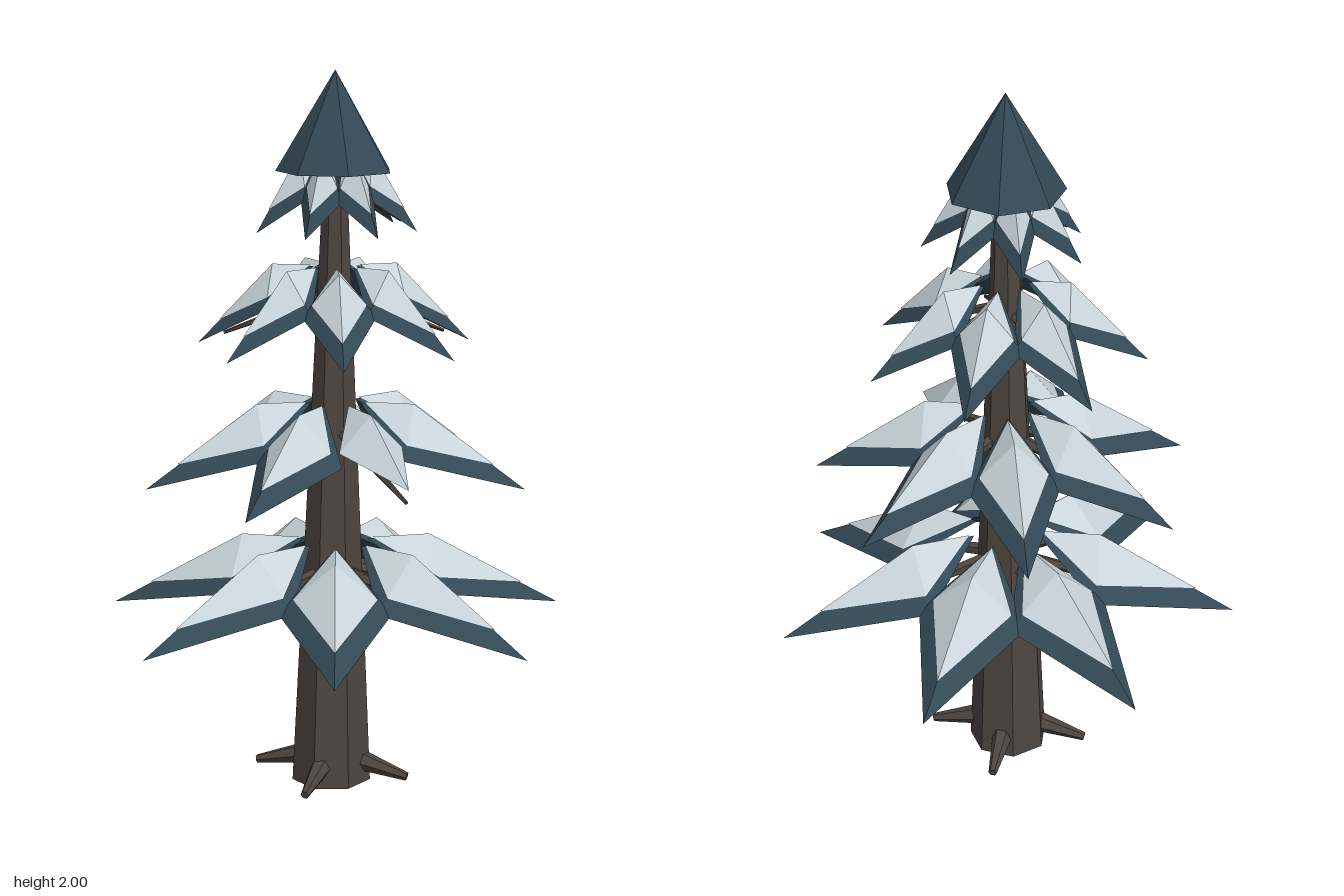
import * as THREE from 'three';

const bark = new THREE.MeshStandardMaterial({ name: 'bark brown', color: 0x4d453f, flatShading: true });
const needle = new THREE.MeshStandardMaterial({ name: 'needle blue green', color: 0x334955, flatShading: true });
const snow = new THREE.MeshStandardMaterial({ name: 'snow white', color: 0xc9d5db, flatShading: true, side: THREE.DoubleSide });

const AXIS_X = -0.03;
const TURN = Math.PI * 2;

// radius of tip, ridge height, tip height, side height, ridge peak radius, half width, start angle
const tiers = [
  { reach: 0.65, top: 0.70, tip: 0.48, side: 0.57, peak: 0.27, inner: 0.09, half: 0.155, start: 0 },
  { reach: 0.53, top: 1.095, tip: 0.875, side: 0.965, peak: 0.22, inner: 0.07, half: 0.127, start: 25.7, bare: 6 },
  { reach: 0.385, top: 1.47, tip: 1.25, side: 1.36, peak: 0.175, inner: 0.06, half: 0.10, start: 3.5 },
  { reach: 0.222, top: 1.78, tip: 1.57, side: 1.66, peak: 0.10, inner: 0.04, half: 0.06, start: 30.7 },
];

function addMesh(parent, name, geometry, material) {
  const mesh = new THREE.Mesh(geometry, material);
  mesh.name = name;
  parent.add(mesh);
  return mesh;
}

function facets(triangles) {
  const geometry = new THREE.BufferGeometry();
  geometry.setFromPoints(triangles.flat());
  geometry.computeVertexNormals();
  return geometry;
}

// Tapered rod between two points
function rod(from, to, r0, r1, sides) {
  const dir = to.clone().sub(from);
  const geometry = new THREE.CylinderGeometry(r1, r0, dir.length(), sides);
  geometry.applyQuaternion(new THREE.Quaternion().setFromUnitVectors(
    new THREE.Vector3(0, 1, 0), dir.normalize()));
  const mid = from.clone().add(to).multiplyScalar(0.5);
  return geometry.translate(mid.x, mid.y, mid.z);
}

// Kite-shaped roof of a bough, pointing along +x
function boughPoints(t) {
  return {
    inner: new THREE.Vector3(t.inner, t.top, 0),
    peak: new THREE.Vector3(t.peak, t.top, 0),
    left: new THREE.Vector3(t.peak, t.side, t.half),
    right: new THREE.Vector3(t.peak, t.side, -t.half),
    tip: new THREE.Vector3(t.reach, t.tip, 0),
  };
}

function roof({ inner, peak, left, right, tip }) {
  return [[tip, right, peak], [peak, right, inner], [tip, peak, left], [peak, inner, left]];
}

function needleGeometry(t) {
  const p = boughPoints(t);
  const under = { ...p, peak: new THREE.Vector3(t.peak, t.side - 0.006, 0) };
  return facets([...roof(p), ...roof(under).map(([a, b, c]) => [a, c, b])]);
}

// Snow is the same roof drawn in towards the peak and lifted a little
function snowGeometry(t) {
  const p = boughPoints(t);
  const keep = { inner: 0.92, left: 0.74, right: 0.74, tip: 0.72 };
  for (const k in keep) p[k].lerp(p.peak, 1 - keep[k]);
  return facets(roof(p)).translate(0, 0.004, 0);
}

export function createModel() {
  const tree = new THREE.Group();
  tree.name = 'snowyPine';

  // Trunk, leaning slightly so that its top meets the crown
  const trunk = new THREE.CylinderGeometry(0.03, 0.113, 1.78, 7, 1, false, -Math.PI / 2);
  trunk.translate(0, 0.89, 0);
  const pos = trunk.attributes.position;
  for (let i = 0; i < pos.count; i++) {
    pos.setX(i, pos.getX(i) - 0.047 + 0.017 * pos.getY(i) / 1.78);
  }
  trunk.computeVertexNormals();
  addMesh(tree, 'trunk', trunk, bark);

  // Roots
  for (let i = 0; i < 4; i++) {
    const root = addMesh(tree, 'root', rod(
      new THREE.Vector3(0.07, 0.064, 0), new THREE.Vector3(0.226, 0.025, 0), 0.032, 0.012, 6), bark);
    root.position.x = -0.047;
    root.rotation.y = THREE.MathUtils.degToRad(20 + 90 * i);
  }

  // Tiers of seven boughs
  tiers.forEach((t, n) => {
    const tier = new THREE.Group();
    tier.name = 'tier' + (n + 1);
    tier.position.x = AXIS_X;
    tree.add(tier);
    const needles = needleGeometry(t);
    const cover = snowGeometry(t);
    const branch = rod(new THREE.Vector3(0.02, t.top - 0.075, 0),
      new THREE.Vector3(t.reach * 0.81, t.tip + 0.03, 0), 0.008 + 0.018 * t.reach, 0.005, 5);
    for (let i = 0; i < 7; i++) {
      const bough = new THREE.Group();
      bough.name = 'bough';
      bough.rotation.y = THREE.MathUtils.degToRad(t.start) + (i / 7) * TURN;
      tier.add(bough);
      addMesh(bough, 'branch', branch, bark);
      if (i !== t.bare) addMesh(bough, 'needles', needles, needle);
      addMesh(bough, 'snowCover', cover, snow);
    }
  });

  // Pointed crown
  const crown = addMesh(tree, 'crown', new THREE.ConeGeometry(0.162, 0.27, 7), needle);
  crown.position.set(AXIS_X, 1.865, 0);

  return tree;
}
